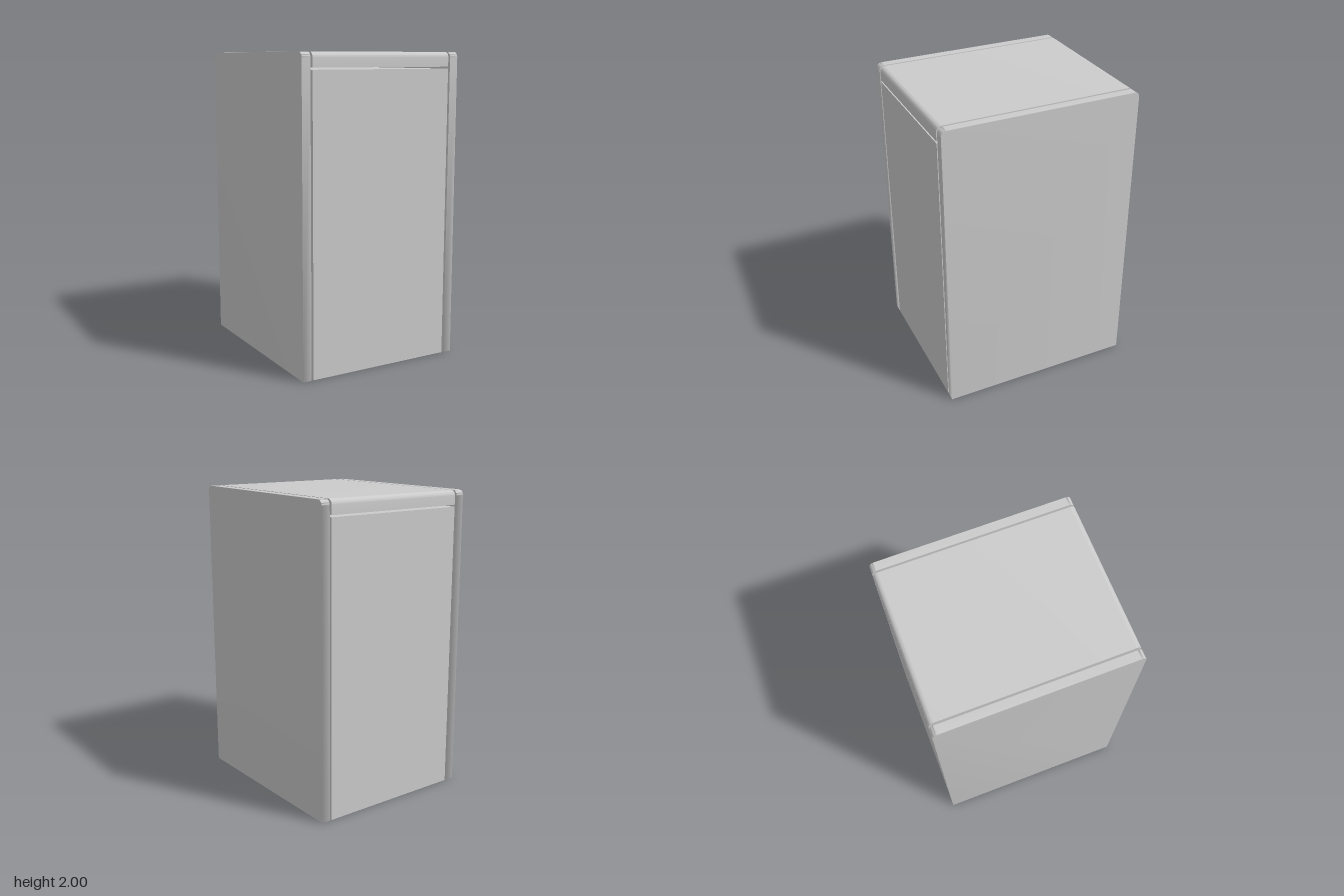
import * as THREE from 'three';
import { mergeVertices, toCreasedNormals } from 'three/addons/utils/BufferGeometryUtils.js';

const HALF_DEPTH = 0.648, HEIGHT = 2, RADIUS = 0.035;
const material = new THREE.MeshStandardMaterial({ color: 0xcccccc });

// Slab seen from the side: square at the bottom, rounded at the top corners, extruded along x
function roundedTopSlab(bottom, width) {
  const d = HALF_DEPTH, r = RADIUS;
  const shape = new THREE.Shape();
  shape.moveTo(-d, bottom);
  shape.lineTo(d, bottom);
  shape.lineTo(d, HEIGHT - r);
  shape.absarc(d - r, HEIGHT - r, r, 0, Math.PI / 2);
  shape.lineTo(-d + r, HEIGHT);
  shape.absarc(-d + r, HEIGHT - r, r, Math.PI / 2, Math.PI);
  shape.closePath();
  const geometry = new THREE.ExtrudeGeometry(shape, { depth: width, bevelEnabled: false, curveSegments: 8 });
  geometry.translate(0, 0, -width / 2);
  geometry.rotateY(Math.PI / 2);
  return geometry;
}

// Blended normals across all edges
function smooth(geometry) {
  geometry.deleteAttribute('normal');
  geometry.deleteAttribute('uv');
  const merged = mergeVertices(geometry, 1e-4);
  merged.computeVertexNormals();
  return merged;
}

export function createModel() {
  const group = new THREE.Group();
  const add = (name, geometry, x, y) => {
    const mesh = new THREE.Mesh(geometry, material);
    mesh.name = name;
    mesh.position.set(x, y, 0);
    group.add(mesh);
  };

  // Cabinet body, a narrow gap below the lid
  const bodyHeight = 1.895;
  add('body', new THREE.BoxGeometry(0.988, bodyHeight, 2 * HALF_DEPTH), 0, bodyHeight / 2);

  // Lid with rounded front and back edges
  add('lid', toCreasedNormals(roundedTopSlab(1.907, 0.988), 0.6), 0, 0);

  // Side panels, set off from the body by a gap
  const panel = smooth(roundedTopSlab(0, 0.058));
  add('leftPanel', panel, 0.537, 0);
  add('rightPanel', panel, -0.537, 0);

  return group;
}
